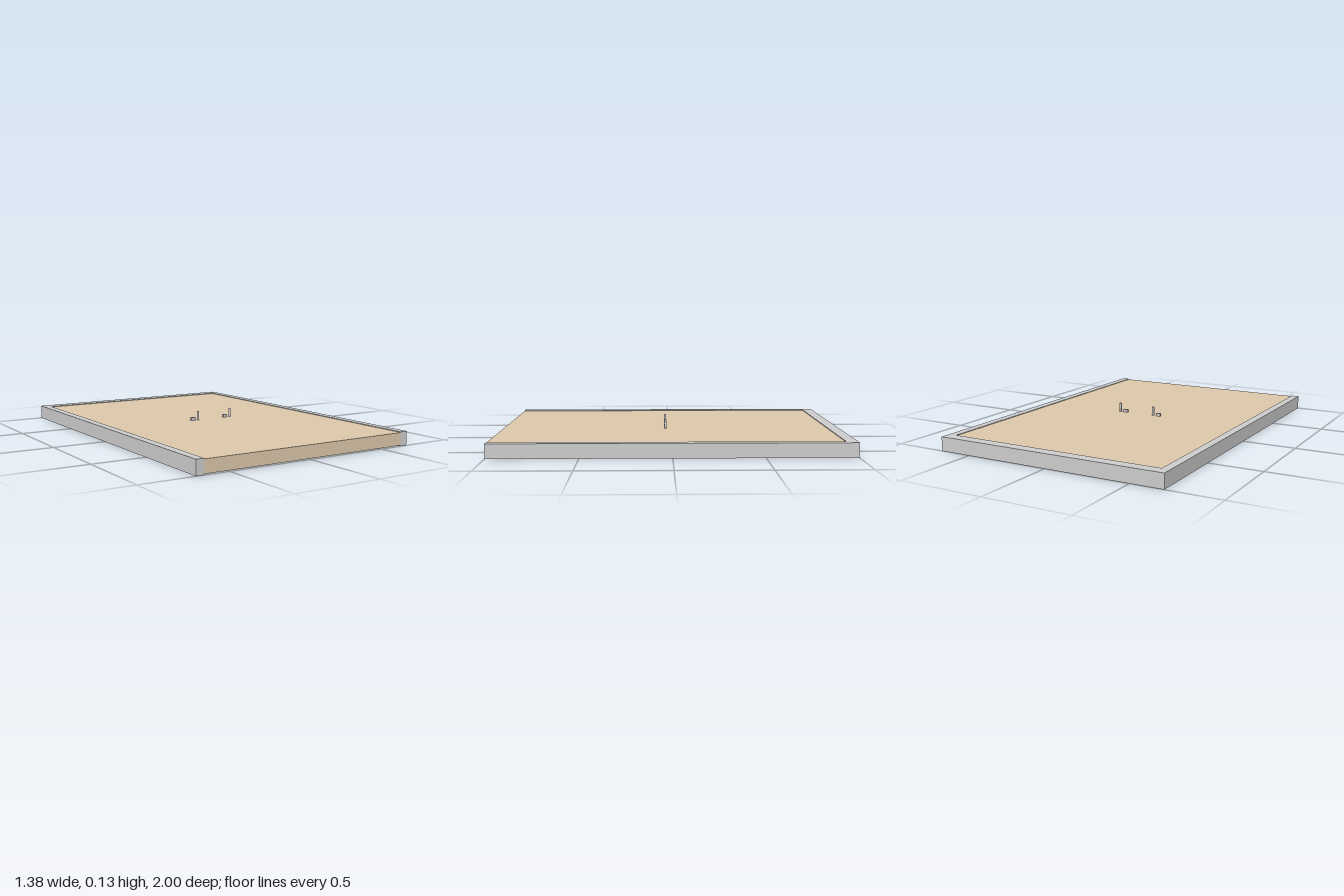
import * as THREE from 'three';

export function createModel() {
  const model = new THREE.Group();
  const grey = new THREE.MeshStandardMaterial({ color: 0xcccccc });
  const tan = new THREE.MeshStandardMaterial({ color: 0xdcc8aa });

  const add = (name, geometry, material, x, y, z) => {
    const mesh = new THREE.Mesh(geometry, material);
    mesh.name = name;
    mesh.position.set(x, y, z);
    model.add(mesh);
    return mesh;
  };

  // U-shaped border, open at the front
  const W = 0.69, IN = 0.643, BACK = -0.935, H = 0.082;
  const outline = new THREE.Shape([
    [-W, -1], [-IN, -1], [-IN, -BACK], [IN, -BACK], [IN, -1], [W, -1], [W, 1], [-W, 1],
  ].map(([x, y]) => new THREE.Vector2(x, y)));
  const border = new THREE.ExtrudeGeometry(outline, { depth: H, bevelEnabled: false });
  border.rotateX(-Math.PI / 2);
  add('border', border, grey, 0, 0, 0);

  // Slab set slightly below the rim and above the ground
  const bottom = 0.005, top = 0.078;
  add('slab', new THREE.BoxGeometry(IN * 2, top - bottom, 1 - BACK), tan,
    0, (top + bottom) / 2, (1 + BACK) / 2);

  // Two pairs of a low block and an upright peg
  const pegTop = 0.132, blockTop = 0.096, z = 0.032;
  for (const x of [-0.081, 0.15]) {
    add('peg', new THREE.CylinderGeometry(0.007, 0.007, pegTop - top, 20), grey,
      x, (pegTop + top) / 2, z);
    add('block', new THREE.BoxGeometry(0.028, blockTop - top, 0.015), grey,
      x - 0.037, (blockTop + top) / 2, z);
  }
  return model;
}
